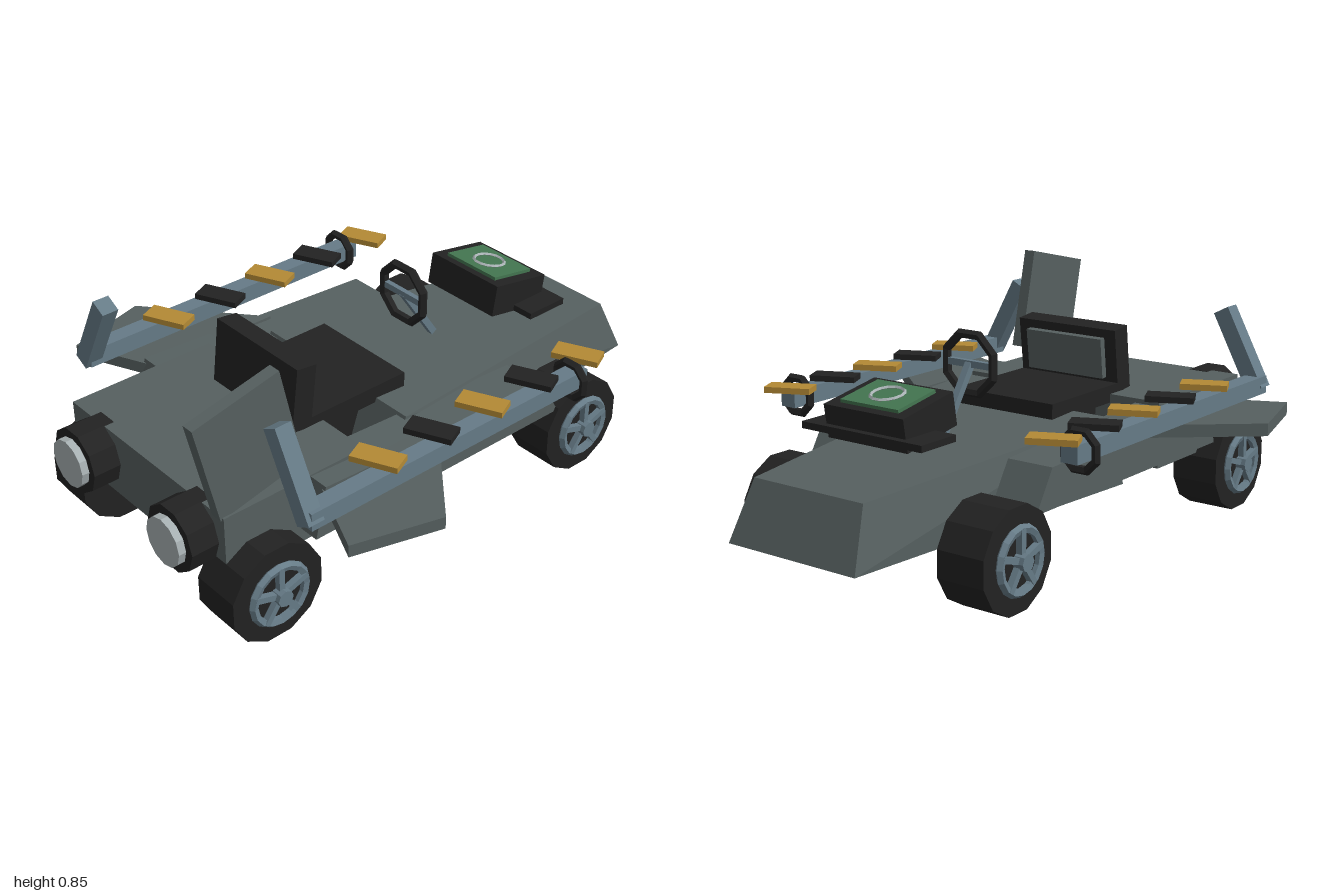
import * as THREE from 'three';
import { ConvexGeometry } from 'three/addons/geometries/ConvexGeometry.js';

const paint = (name, color) => {
  const m = new THREE.MeshStandardMaterial({ color, flatShading: true });
  m.name = name;
  return m;
};

export function createModel() {
  const root = new THREE.Group();
  root.name = 'kart';
  const body = paint('body grey', 0x566060);
  const black = paint('black', 0x222222);
  const steel = paint('steel blue', 0x667b87);
  const gold = paint('gold', 0xb48a35);
  const green = paint('screen green', 0x437550);
  const pale = paint('pale grey', 0xa7b0b2);

  const add = (name, geo, mat, x = 0, y = 0, z = 0, parent = root) => {
    const m = new THREE.Mesh(geo, mat);
    m.name = name;
    m.position.set(x, y, z);
    parent.add(m);
    return m;
  };
  const box = (w, h, d) => new THREE.BoxGeometry(w, h, d);
  const hull = (pts) => new ConvexGeometry(pts.map((p) => new THREE.Vector3(...p)));
  // square bar between two points
  const bar = (name, a, b, w, mat, parent = root) => {
    const A = new THREE.Vector3(...a), B = new THREE.Vector3(...b);
    const m = add(name, box(w, w, A.distanceTo(B)), mat, 0, 0, 0, parent);
    m.position.copy(A).add(B).multiplyScalar(0.5);
    m.lookAt(B);
    return m;
  };

  // tapered nose and rear engine deck
  const nose = [];
  for (const s of [-1, 1]) {
    nose.push([s * 0.25, 0.19, -1], [s * 0.215, 0.38, -0.92],
      [s * 0.345, 0.19, 0.215], [s * 0.34, 0.435, 0.13]);
  }
  add('nose', hull(nose), body);
  add('rearDeck', box(0.79, 0.23, 0.53), body, 0, 0.335, 0.615);

  // side pods, wings, rails, boosters
  for (const s of [-1, 1]) {
    const pod = [];
    for (const x of [0.3, 0.465]) {
      pod.push([s * x, 0.27, -0.44], [s * x, 0.4, -0.36], [s * x, 0.27, 0.6], [s * x, 0.445, 0.56]);
    }
    add('sidePod', hull(pod), body);

    const wing = [];
    for (const y of [0.39, 0.432]) {
      for (const [x, z] of [[0.785, 0.38], [0.7, 0.675], [0.42, 0.55], [0.42, 0.07]]) wing.push([s * x, y, z]);
    }
    add('wing', hull(wing), body);

    add('rail', box(0.06, 0.06, 1.14), steel, s * 0.565, 0.472, 0.15);
    const arm = add('railArm', box(0.06, 0.3, 0.058), steel, s * 0.503, 0.585, 0.706);
    arm.rotation.z = s * 0.49;
    const ring = add('railRing', new THREE.TorusGeometry(0.062, 0.015, 5, 8), black, s * 0.57, 0.472, -0.37);
    ring.rotation.z = Math.PI / 8;
    for (let i = 0; i < 5; i++) {
      const b = add('railBlock', box(0.155, 0.02, 0.075), i % 2 ? black : gold,
        s * 0.528, 0.515, -0.445 + i * 0.2145);
      b.rotation.y = 0.43;
    }

    const tube = new THREE.CylinderGeometry(0.112, 0.112, 0.13, 10);
    tube.rotateY(Math.PI / 10).rotateX(Math.PI / 2);
    add('booster', tube, black, s * 0.253, 0.345, 0.91);
    const lamp = new THREE.CylinderGeometry(0.082, 0.082, 0.05, 12);
    lamp.rotateX(Math.PI / 2);
    add('boosterLens', lamp, pale, s * 0.253, 0.345, 0.975);
  }

  // single upright fin
  const fin = add('fin', box(0.042, 0.355, 0.312), body, 0.366, 0.647, 0.771);
  fin.rotation.x = 0.22;

  // wheels
  for (const s of [-1, 1]) {
    for (const z of [-0.55, 0.76]) {
      const w = new THREE.Group();
      w.name = 'wheel';
      w.position.set(s * 0.395, 0.165, z);
      root.add(w);
      const tyre = new THREE.CylinderGeometry(0.17, 0.17, 0.17, 12);
      tyre.rotateY(Math.PI / 12).rotateZ(Math.PI / 2);
      add('tyre', tyre, black, 0, 0, 0, w);
      const rim = new THREE.TorusGeometry(0.098, 0.015, 5, 16);
      rim.rotateY(Math.PI / 2);
      add('rim', rim, steel, s * 0.092, 0, 0, w);
      const hub = new THREE.CylinderGeometry(0.028, 0.028, 0.045, 8);
      hub.rotateZ(Math.PI / 2);
      add('hub', hub, steel, s * 0.1, 0, 0, w);
      for (let i = 0; i < 5; i++) {
        const a = (i * Math.PI * 2) / 5;
        const sp = add('spoke', box(0.025, 0.1, 0.02), steel,
          s * 0.094, Math.cos(a) * 0.05, Math.sin(a) * 0.05, w);
        sp.rotation.x = a;
      }
    }
  }

  // seat
  add('seatBase', box(0.4, 0.06, 0.42), black, 0, 0.45, 0.22);
  add('seatPedestal', box(0.28, 0.16, 0.2), black, 0, 0.35, 0.25);
  const back = new THREE.Group();
  back.name = 'seatBack';
  back.position.set(0, 0.56, 0.422);
  back.rotation.x = -0.12;
  root.add(back);
  add('backrest', box(0.4, 0.22, 0.075), black, 0, 0, 0, back);
  add('backPad', box(0.31, 0.14, 0.024), body, 0, 0.01, -0.049, back);

  // steering wheel and column
  const wheel = add('steeringWheel', new THREE.TorusGeometry(0.102, 0.016, 5, 8), black, 0, 0.62, -0.165);
  wheel.rotation.z = Math.PI / 8;
  bar('steeringColumn', [0, 0.62, -0.165], [0, 0.42, -0.3], 0.024, steel);
  add('steeringBar', box(0.19, 0.022, 0.018), steel, 0, 0.62, -0.165);

  // console with screen
  add('consolePlate', box(0.475, 0.022, 0.16), black, 0, 0.49, -0.612);
  const con = new THREE.Group();
  con.name = 'console';
  con.position.set(0, 0.53, -0.553);
  con.rotation.x = -0.17;
  root.add(con);
  add('consoleBox', box(0.315, 0.11, 0.235), black, 0, 0, 0, con);
  add('screen', box(0.23, 0.012, 0.175), green, 0, 0.06, 0, con);
  const dial = new THREE.TorusGeometry(0.053, 0.006, 4, 14);
  dial.rotateX(Math.PI / 2);
  add('screenRing', dial, pale, 0, 0.068, 0, con);

  return root;
}
